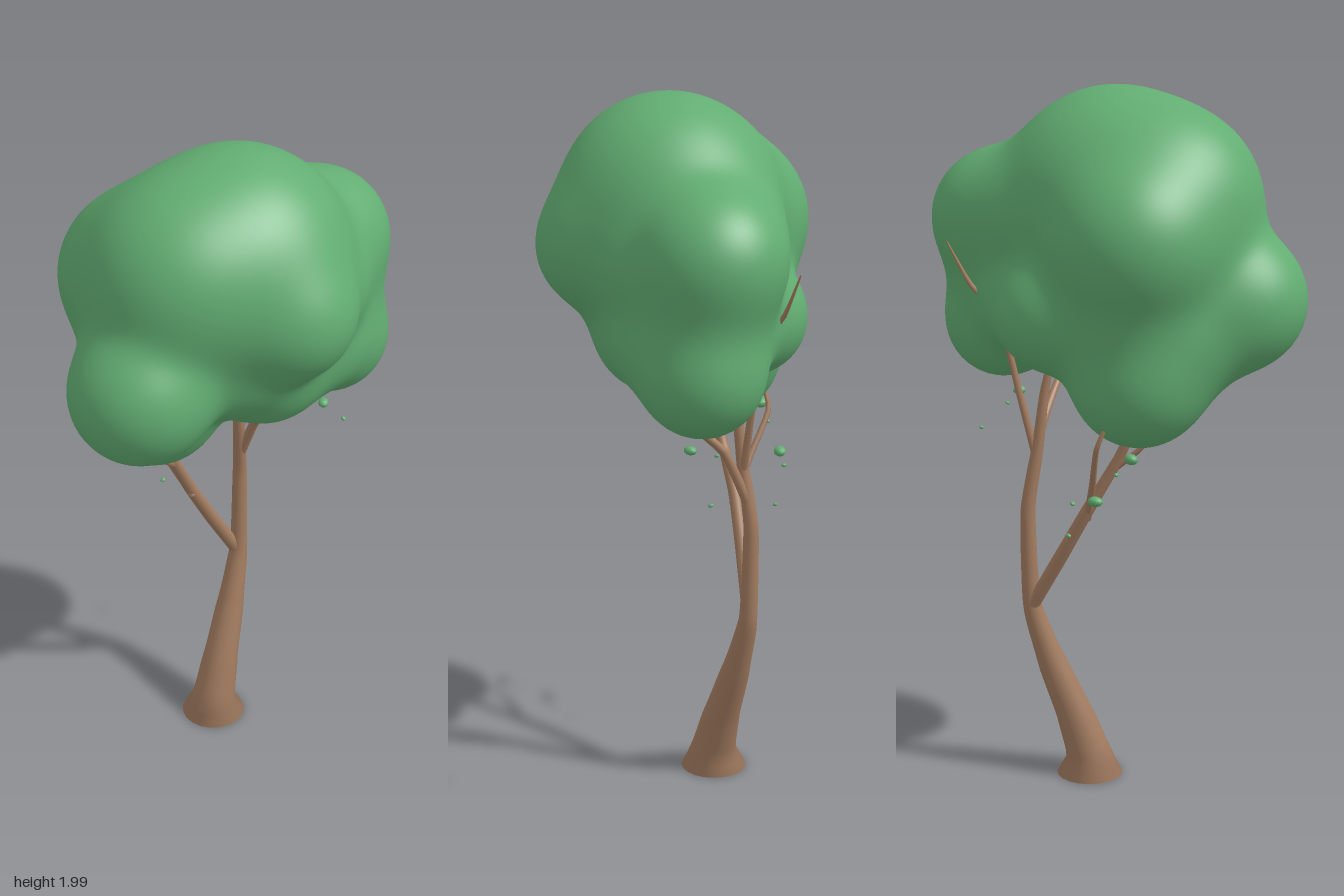
import * as THREE from 'three';
import { mergeVertices } from 'three/addons/utils/BufferGeometryUtils.js';

const bark = new THREE.MeshStandardMaterial({ color: 0xa47d61, side: THREE.DoubleSide });
const leaf = new THREE.MeshStandardMaterial({ color: 0x62ad72 });

// Tapered limb through control points [x, y, z, radius]
function limb(name, points, sides = 12) {
  const path = points.map(([x, y, z]) => new THREE.Vector3(x, y, z));
  const curve = new THREE.CatmullRomCurve3(path, false, 'catmullrom', 0.25);
  const rings = (points.length - 1) * 6;
  const geometry = new THREE.TubeGeometry(curve, rings, 1, sides);
  const pos = geometry.attributes.position;
  const v = new THREE.Vector3();
  for (let i = 0; i <= rings; i++) {
    const centre = curve.getPointAt(i / rings);
    const t = curve.getUtoTmapping(i / rings) * (points.length - 1);
    const k = Math.min(Math.floor(t), points.length - 2);
    const radius = THREE.MathUtils.lerp(points[k][3], points[k + 1][3], t - k);
    for (let j = 0; j <= sides; j++) {
      const n = i * (sides + 1) + j;
      v.fromBufferAttribute(pos, n).sub(centre).multiplyScalar(radius).add(centre);
      pos.setXYZ(n, v.x, i === 0 && points[0][1] === 0 ? 0 : v.y, v.z);
    }
  }
  const mesh = new THREE.Mesh(geometry, bark);
  mesh.name = name;
  return mesh;
}

// Rounded lobes of the crown: [x, y, z, radius]
const lobes = [
  [0.045, 1.69, -0.01, 0.30], // top
  [-0.085, 1.685, 0.11, 0.26], // upper front
  [-0.215, 1.61, -0.02, 0.228], // left-hand side
  [-0.18, 1.42, 0.285, 0.192], // low front
  [-0.19, 1.215, 0.00, 0.185], // lowest
  [0.243, 1.61, -0.29, 0.188], // upper back corner
  [0.275, 1.30, -0.275, 0.162], // lower back corner
  [0.205, 1.59, 0.12, 0.163], // front corner
  [-0.06, 1.38, -0.21, 0.15], // low back
  [0.12, 1.35, -0.01, 0.16], // lower middle
  [0.26, 1.45, -0.27, 0.13], // between the back corners
  [0.25, 1.37, -0.12, 0.125], // right-hand side, low
  [0.26, 1.56, -0.08, 0.11], // right-hand side, high
  [0.11, 1.64, -0.235, 0.145], // back, high
  [0.10, 1.40, -0.25, 0.12], // back, low
  [-0.20, 1.33, 0.12, 0.15], // under the low front
  [-0.19, 1.40, -0.03, 0.16], // left-hand side, low
  [0.05, 1.43, 0.13, 0.12], // front, low
];

// Distance to the smoothly blended lobes
function crownDistance(p) {
  const k = 0.04;
  let sum = 0;
  for (const [x, y, z, r] of lobes) sum += Math.exp(-(Math.hypot(p.x - x, p.y - y, p.z - z) - r) / k);
  return -k * Math.log(sum);
}

// Crown: a sphere shrunk along its rays onto the blended lobes
function crown() {
  let geometry = new THREE.IcosahedronGeometry(1, 28);
  geometry.deleteAttribute('uv');
  geometry.deleteAttribute('normal');
  geometry = mergeVertices(geometry, 1e-5);
  const pos = geometry.attributes.position;
  const centre = new THREE.Vector3(0, 1.5, -0.03);
  const dir = new THREE.Vector3();
  const p = new THREE.Vector3();
  for (let i = 0; i < pos.count; i++) {
    dir.fromBufferAttribute(pos, i).normalize();
    let r = 1;
    for (let step = 0; step < 60; step++) {
      const d = crownDistance(p.copy(centre).addScaledVector(dir, r));
      if (Math.abs(d) < 1e-4) break;
      r -= d * 0.9;
    }
    p.copy(centre).addScaledVector(dir, r);
    pos.setXYZ(i, p.x, p.y, p.z);
  }
  geometry.computeVertexNormals();
  const mesh = new THREE.Mesh(geometry, leaf);
  mesh.name = 'crown';
  return mesh;
}

export function createModel() {
  const tree = new THREE.Group();
  tree.name = 'tree';

  tree.add(
    limb('trunk', [
      [-0.038, 0, -0.105, 0.095], [-0.035, 0.06, -0.108, 0.065], [-0.02, 0.18, -0.145, 0.053],
      [0.003, 0.35, -0.21, 0.04], [0.02, 0.52, -0.26, 0.026], [0.022, 0.8, -0.268, 0.021],
      [0.022, 0.98, -0.238, 0.017], [0.022, 1.15, -0.215, 0.013], [0.02, 1.35, -0.17, 0.006],
    ], 20),
    limb('leftBranch', [
      [0.015, 0.51, -0.262, 0.02], [-0.055, 0.68, -0.19, 0.02], [-0.11, 0.83, -0.125, 0.018],
      [-0.15, 0.98, -0.05, 0.015], [-0.18, 1.1, -0.005, 0.012], [-0.2, 1.2, 0.02, 0.006],
    ]),
    limb('leftTwig', [
      [-0.1, 0.8, -0.125, 0.012], [-0.175, 0.92, -0.13, 0.01], [-0.26, 1.05, -0.14, 0.008], [-0.27, 1.15, -0.1, 0.004],
    ], 8),
    limb('frontTwig', [
      [-0.14, 0.95, -0.06, 0.01], [-0.18, 1.02, 0.01, 0.008], [-0.21, 1.12, 0.04, 0.004],
    ], 8),
    limb('rightBranch', [
      [0.022, 0.86, -0.262, 0.015], [0.075, 1.02, -0.215, 0.013], [0.14, 1.1, -0.165, 0.011], [0.225, 1.19, -0.1, 0.008], [0.23, 1.3, -0.1, 0.004],
    ]),
    limb('backTwig', [
      [0.025, 0.96, -0.243, 0.012], [0.05, 1.15, -0.285, 0.01], [0.07, 1.35, -0.33, 0.008], [0.085, 1.45, -0.41, 0.007], [0.105, 1.57, -0.47, 0.002],
    ], 8),
    crown(),
  );

  // Loose leaves below the crown: [x, y, z, size]
  const leaves = [
    [-0.34, 1.037, -0.065, 0.023], [-0.3, 0.913, -0.155, 0.022], [0.268, 1.086, -0.232, 0.019],
    [-0.317, 0.99, -0.1, 0.008], [-0.245, 0.895, -0.205, 0.009], [-0.2, 0.788, -0.205, 0.008],
    [0.213, 1.065, -0.28, 0.007], [0.32, 0.966, -0.335, 0.008],
  ];
  leaves.forEach(([x, y, z, s], i) => {
    const mesh = new THREE.Mesh(new THREE.SphereGeometry(1, 12, 8), leaf);
    mesh.name = 'looseLeaf' + (i + 1);
    mesh.position.set(x, y, z);
    mesh.scale.set(s, s * 0.65, s * 0.8);
    mesh.rotation.set(0.2, i * 0.8, -0.2);
    tree.add(mesh);
  });
  return tree;
}
